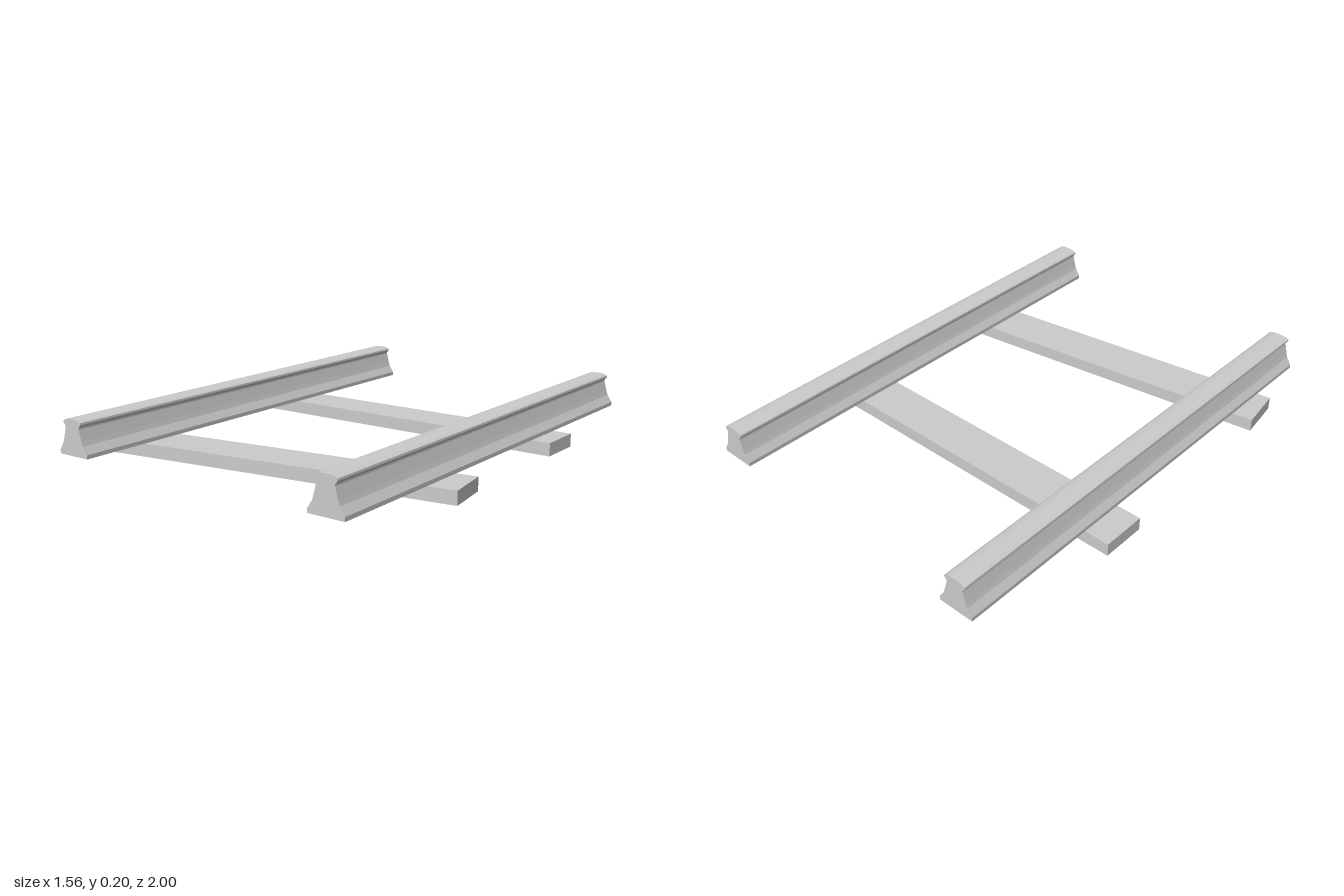
import * as THREE from 'three';

const LENGTH = 2;
const TIE_HEIGHT = 0.054;

// Right half of the rail cross-section, from foot to crown
const HALF_PROFILE = [
  [0.075, TIE_HEIGHT], [0.075, 0.07], [0.055, 0.1], [0.049, 0.118],
  [0.037, 0.162], [0.037, 0.168], [0.047, 0.18], [0.046, 0.188], [0.034, 0.194], [0.015, 0.197],
];

export function createModel() {
  const group = new THREE.Group();
  const material = new THREE.MeshStandardMaterial({ color: 0xcccccc, flatShading: true });

  function add(name, geometry, x, y, z, turn = 0) {
    const mesh = new THREE.Mesh(geometry, material);
    mesh.name = name;
    mesh.position.set(x, y, z);
    mesh.rotation.y = turn;
    group.add(mesh);
  }

  // Rails: mirrored profile extruded along z
  const mirrored = HALF_PROFILE.map(([x, y]) => [-x, y]).reverse();
  const outline = [...HALF_PROFILE, ...mirrored].map(([x, y]) => new THREE.Vector2(x, y));
  const railGeometry = new THREE.ExtrudeGeometry(new THREE.Shape(outline), {
    depth: LENGTH, bevelEnabled: false,
  });
  add('leftRail', railGeometry, 0.594, 0, -LENGTH / 2);
  add('rightRail', railGeometry, -0.605, 0, -LENGTH / 2);

  // Ties: one square to the rails, one knocked askew
  const tieGeometry = new THREE.BoxGeometry(1.533, TIE_HEIGHT, 0.188);
  add('backTie', tieGeometry, -0.018, TIE_HEIGHT / 2, -0.323);
  add('frontTie', tieGeometry, 0.008, TIE_HEIGHT / 2, 0.538, 0.147);

  return group;
}
